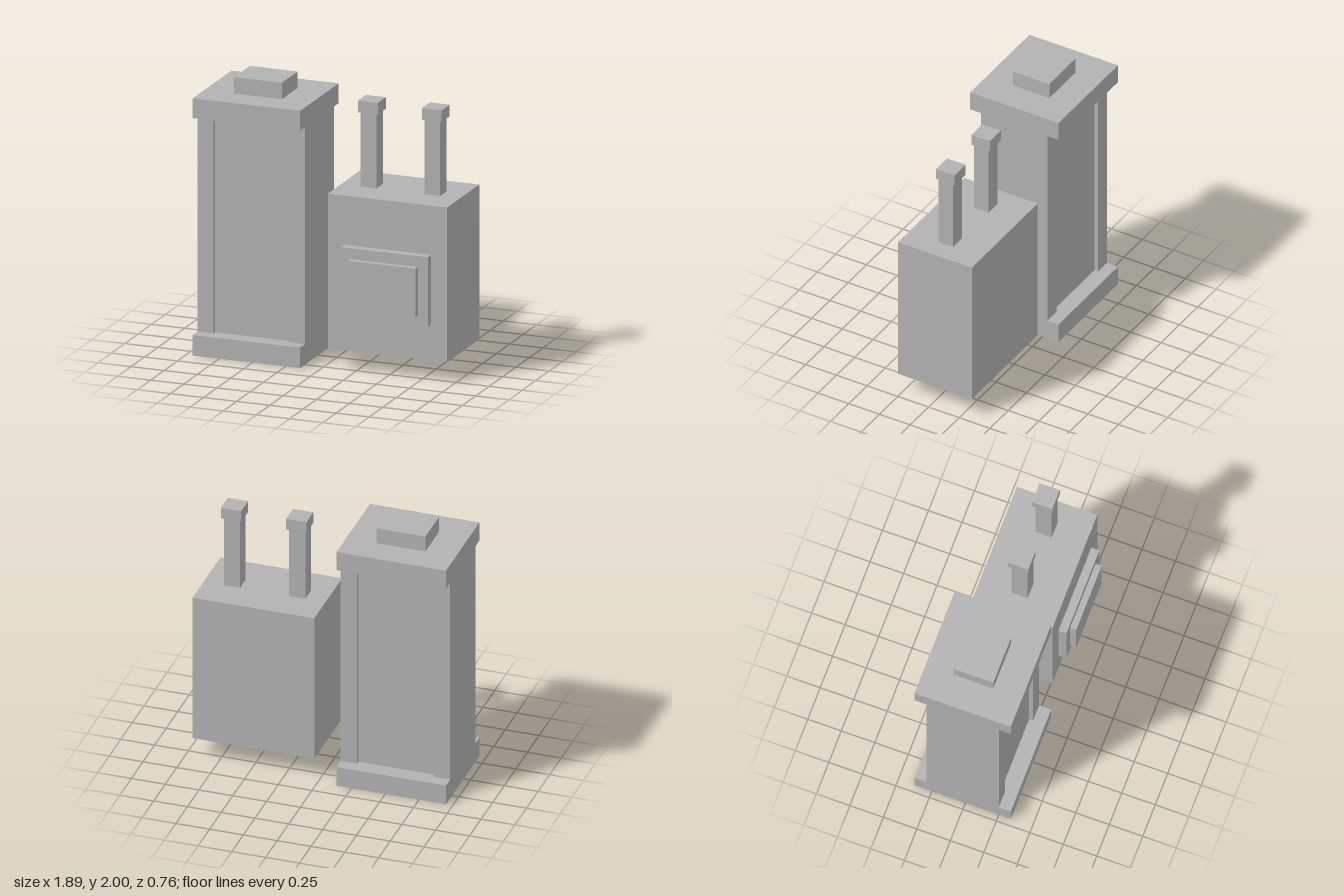
import * as THREE from 'three';

export function createModel() {
  const model = new THREE.Group();
  const grey = new THREE.MeshStandardMaterial({ color: 0xb2b2b2 });
  grey.name = 'plain grey';

  // Adds a box spanning the given [min, max] ranges
  const block = (parent, name, [x0, x1], [y0, y1], [z0, z1]) => {
    const mesh = new THREE.Mesh(new THREE.BoxGeometry(x1 - x0, y1 - y0, z1 - z0), grey);
    mesh.position.set((x0 + x1) / 2, (y0 + y1) / 2, (z0 + z1) / 2);
    mesh.name = name;
    parent.add(mesh);
  };

  // Tall tower: base and cap slabs, side rails and a recessed core
  const tower = new THREE.Group();
  tower.name = 'tower';
  const towerX = [-0.95, -0.14], slabZ = [-0.38, 0.34], railZ = [-0.29, 0.25];
  block(tower, 'towerBase', towerX, [0, 0.15], slabZ);
  block(tower, 'towerCap', towerX, [1.735, 1.88], slabZ);
  block(tower, 'towerTop', [-0.725, -0.365], [1.88, 2], [-0.17, 0.125]);
  block(tower, 'towerCore', [-0.83, -0.26], [0.15, 1.735], [-0.26, 0.22]);
  block(tower, 'rightRail', [-0.95, -0.83], [0.15, 1.735], railZ);
  block(tower, 'leftRail', [-0.26, -0.14], [0.15, 1.735], railZ);

  // Raised cabinet with a stepped front panel
  const cabinet = new THREE.Group();
  cabinet.name = 'cabinet';
  block(cabinet, 'cabinetBody', [0.045, 0.945], [0.15, 1.28], [-0.32, 0.28]);
  block(cabinet, 'panelFrame', [0.165, 0.825], [0.41, 0.92], [0.28, 0.34]);
  block(cabinet, 'panelFace', [0.24, 0.75], [0.485, 0.84], [0.34, 0.385]);

  // Two capped posts on top of the cabinet
  for (const [side, x] of [['right', 0.254], ['left', 0.736]]) {
    block(cabinet, side + 'Post', [x - 0.06, x + 0.06], [1.28, 1.825], [-0.08, 0.04]);
    block(cabinet, side + 'PostCap', [x - 0.075, x + 0.075], [1.825, 1.91], [-0.1, 0.05]);
  }

  model.add(tower, cabinet);
  return model;
}
